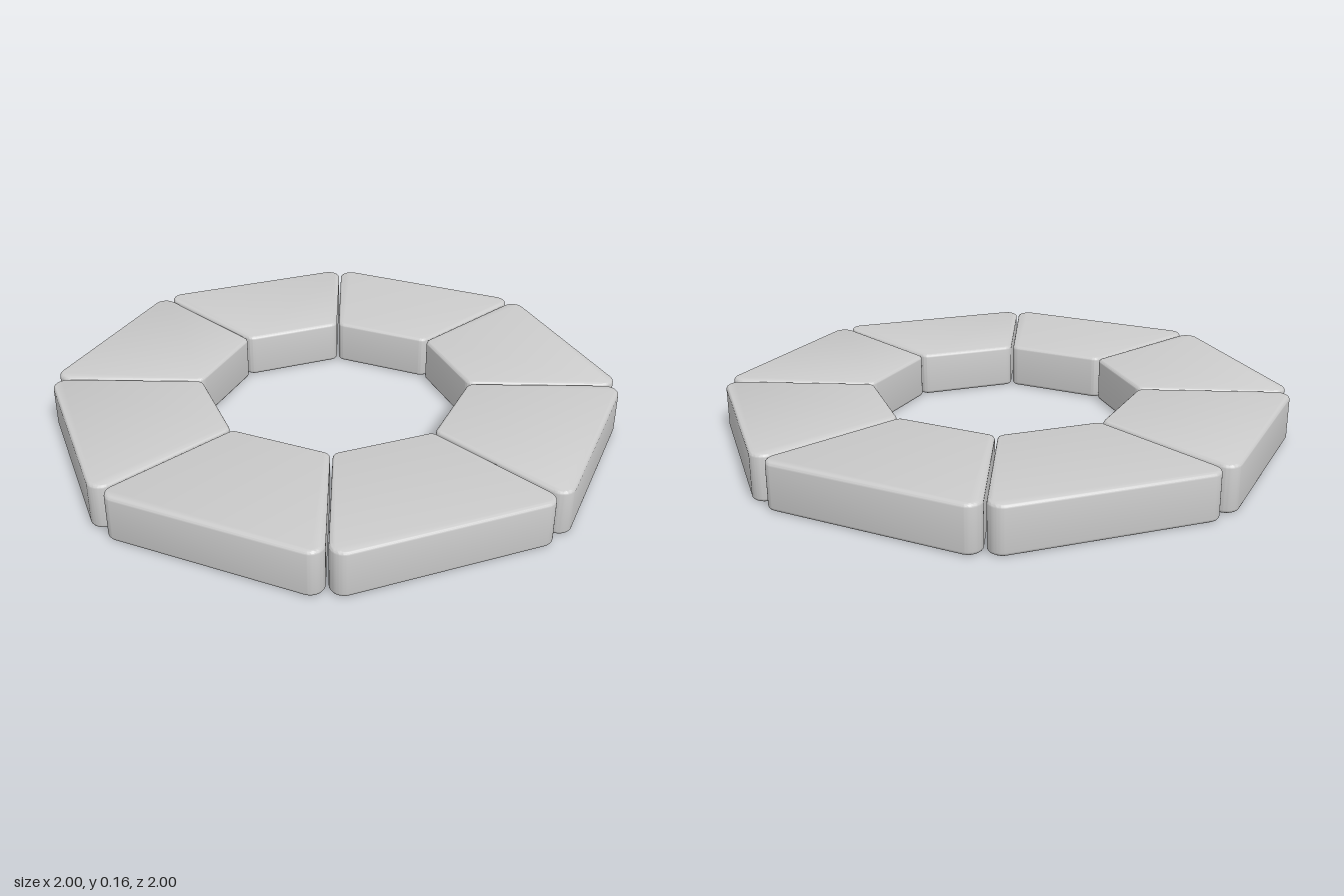
import * as THREE from 'three';
import { toCreasedNormals } from 'three/addons/utils/BufferGeometryUtils.js';

const COUNT = 8;
const HALF = Math.PI / COUNT;
const HEIGHT = 0.16;
const OUTER = 0.947; // distance from centre to the outer edge
const INNER = 0.441; // distance from centre to the inner edge
const GAP = 0.004;   // half of the joint between neighbours
const BEVEL = 0.012;

// Rounded trapezoid, symmetric about the x axis, pointing outward along +x
function wedgeShape() {
  const rOut = 0.045, rIn = 0.03;
  const sideY = (x, r) => (x * Math.sin(HALF) - GAP - r) / Math.cos(HALF);
  const side = Math.PI / 2 + HALF; // direction of the side's normal
  const xo = OUTER - rOut, yo = sideY(xo, rOut);
  const xi = INNER + rIn, yi = sideY(xi, rIn);
  const shape = new THREE.Shape();
  shape.absarc(xo, yo, rOut, 0, side);
  shape.absarc(xi, yi, rIn, side, Math.PI);
  shape.absarc(xi, -yi, rIn, Math.PI, 2 * Math.PI - side);
  shape.absarc(xo, -yo, rOut, 2 * Math.PI - side, 2 * Math.PI);
  shape.closePath();
  return shape;
}

export function createModel() {
  const group = new THREE.Group();
  group.name = 'segmentedRing';
  const material = new THREE.MeshStandardMaterial({ color: 0xcccccc });

  // One block with softly rounded top and bottom rims
  let geometry = new THREE.ExtrudeGeometry(wedgeShape(), {
    depth: HEIGHT - 2 * BEVEL,
    curveSegments: 10,
    bevelEnabled: true,
    bevelThickness: BEVEL,
    bevelSize: BEVEL,
    bevelOffset: -BEVEL,
    bevelSegments: 4,
  });
  geometry.translate(0, 0, BEVEL);
  geometry.rotateX(-Math.PI / 2);
  geometry = toCreasedNormals(geometry, 0.6);

  // Eight blocks around the centre
  for (let i = 0; i < COUNT; i++) {
    const block = new THREE.Mesh(geometry, material);
    block.name = `block${i + 1}`;
    block.rotation.y = (2 * i + 1) * HALF;
    group.add(block);
  }
  return group;
}
